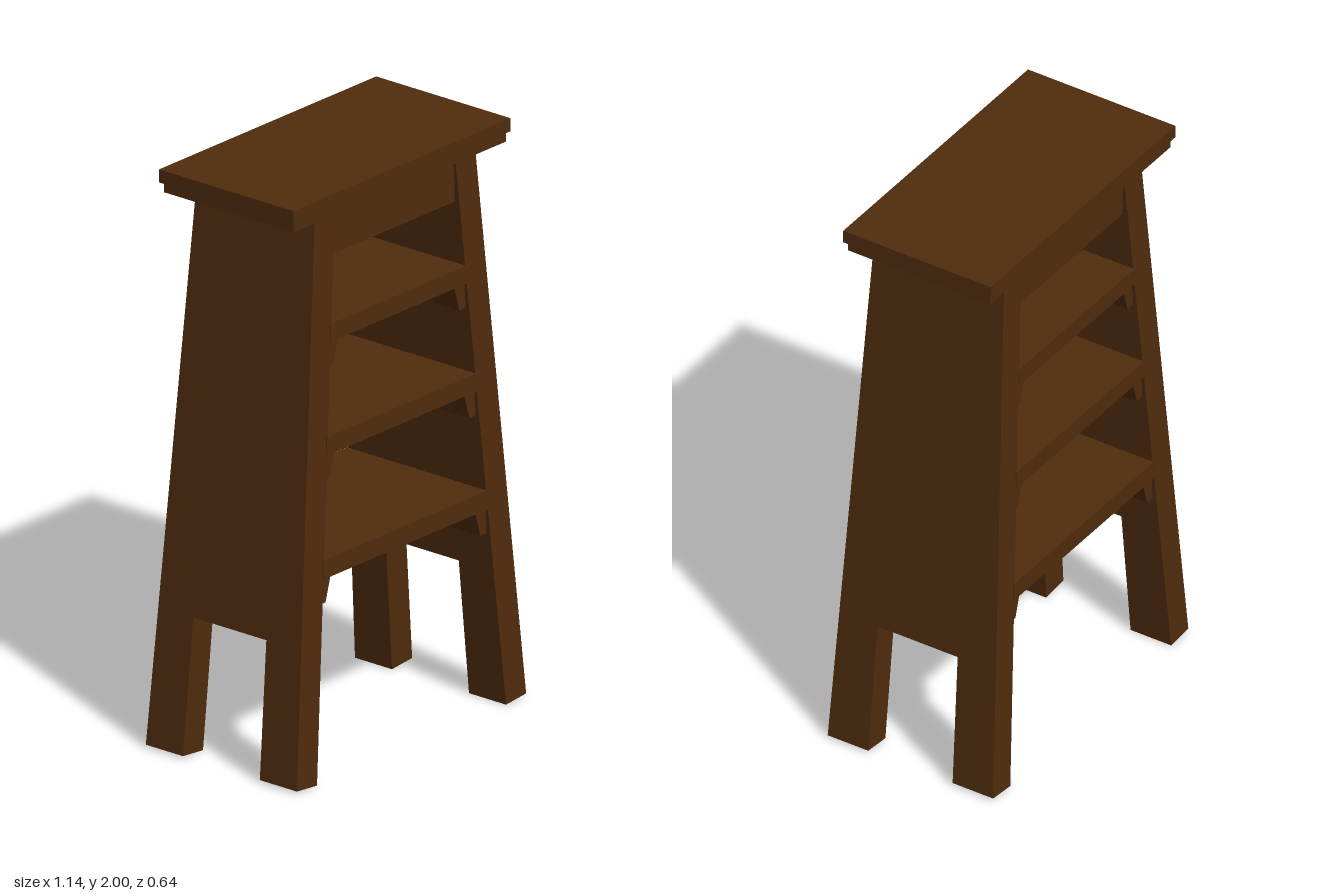
import * as THREE from 'three';

const wood = new THREE.MeshStandardMaterial({ color: 0x502c0e });
wood.name = 'darkWood';

const SLOPE = 0.0885;                                        // outward lean of the side panels
const innerX = (y) => 0.30 + (1.92 - y) * SLOPE;             // inside face of a panel
const halfZ = (y) => 0.25 + (1.92 - y) * 0.037;              // half depth of a panel

function add(group, name, geometry, x = 0, y = 0, z = 0) {
  const mesh = new THREE.Mesh(geometry, wood);
  mesh.name = name;
  mesh.position.set(x, y, z);
  group.add(mesh);
  return mesh;
}

function box(group, name, w, y0, y1, d, z = 0) {
  return add(group, name, new THREE.BoxGeometry(w, y1 - y0, d), 0, (y0 + y1) / 2, z);
}

function polygon(points) {
  return new THREE.Shape(points.map(([x, y]) => new THREE.Vector2(x, y)));
}

// Tapered board with a notch that leaves two feet, sheared to lean outward
function panelGeometry() {
  const shape = polygon([
    [-0.32, 0], [-0.163, 0], [-0.155, 0.47], [0.155, 0.47],
    [0.163, 0], [0.32, 0], [0.25, 1.92], [-0.25, 1.92],
  ]);
  const g = new THREE.ExtrudeGeometry(shape, { depth: 0.1, bevelEnabled: false });
  g.rotateY(Math.PI / 2);
  const p = g.attributes.position;
  for (let i = 0; i < p.count; i++) {
    const t = p.getX(i), y = p.getY(i);
    p.setX(i, t + innerX(y));
    if (y < 1.8) p.setY(i, y + t * 0.09);                    // square-cut ends follow the lean
  }
  g.computeVertexNormals();
  return g;
}

// Bevelled support strip running under a shelf end
function cleatGeometry(y) {
  const low = y - 0.09, depth = 2 * (halfZ(y) - 0.012);
  const shape = polygon([
    [innerX(low) - 0.032, low], [innerX(low) + 0.01, low],
    [innerX(y) + 0.01, y], [innerX(y) - 0.05, y],
  ]);
  const g = new THREE.ExtrudeGeometry(shape, { depth, bevelEnabled: false });
  g.translate(0, 0, -depth / 2);
  return g;
}

export function createModel() {
  const model = new THREE.Group();
  model.name = 'stepStool';

  // Two-layer seat
  box(model, 'seatTop', 1.08, 1.955, 2, 0.57, -0.005);
  box(model, 'seatUnderlayer', 1.055, 1.92, 1.955, 0.55, -0.005);

  // Apron block under the seat
  box(model, 'apron', 0.615, 1.77, 1.92, 0.48);

  // Shelves, each resting on two cleats
  for (const [y0, y1] of [[1.485, 1.547], [1.105, 1.168], [0.69, 0.755]]) {
    box(model, 'shelf', 2 * (innerX(y0) + 0.003), y0, y1, 2 * halfZ(y0) + 0.003);
    for (const turn of [0, Math.PI]) add(model, 'shelfCleat', cleatGeometry(y0)).rotation.y = turn;
  }

  // Leaning side panels
  add(model, 'leftSidePanel', panelGeometry());
  add(model, 'rightSidePanel', panelGeometry()).rotation.y = Math.PI;

  return model;
}
